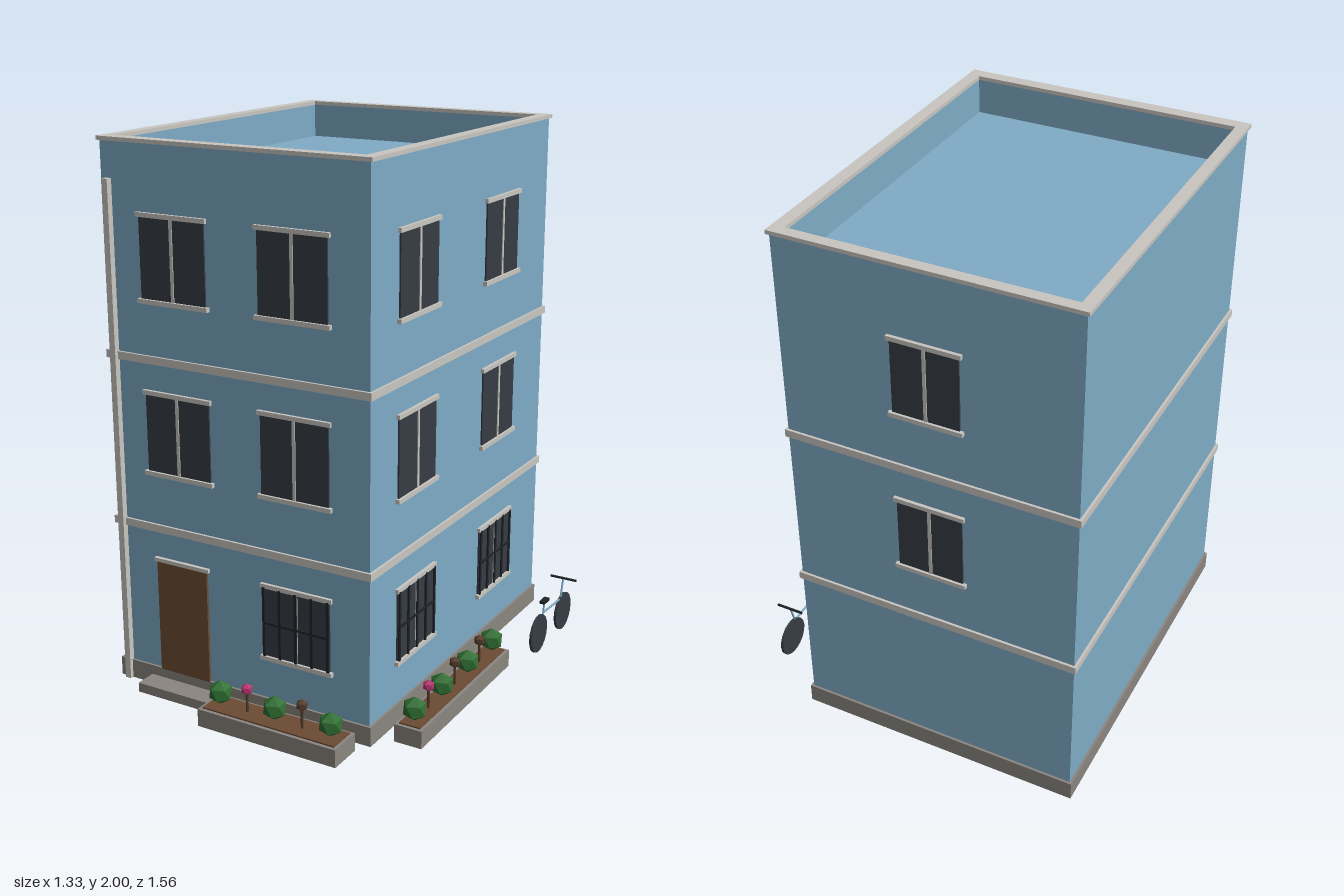
import * as THREE from 'three';

const mat = (name, color) => {
  const m = new THREE.MeshStandardMaterial({ color });
  m.name = name;
  return m;
};

export function createModel() {
  const M = {
    wall: mat('blue wall', 0x7fabc6),
    trim: mat('pale trim', 0xc9c6c1),
    stone: mat('grey stone', 0x8a857f),
    glass: mat('dark glass', 0x363b43),
    wood: mat('brown wood and soil', 0x6c4c34),
    iron: mat('black iron', 0x1f2327),
    leaf: mat('green leaf', 0x2f6e32),
    pink: mat('pink petals', 0xb5326f),
    twig: mat('dark twig', 0x523a28),
  };
  M.leaf.flatShading = M.pink.flatShading = M.twig.flatShading = true;

  const model = new THREE.Group();
  model.name = 'townHouse';

  const add = (parent, name, geo, material) => {
    const mesh = new THREE.Mesh(geo, material);
    mesh.name = name;
    parent.add(mesh);
    return mesh;
  };
  // Box given by its minimum and maximum on each axis
  const box = (parent, name, m, x0, x1, y0, y1, z0, z1) => {
    const b = add(parent, name, new THREE.BoxGeometry(x1 - x0, y1 - y0, z1 - z0), m);
    b.position.set((x0 + x1) / 2, (y0 + y1) / 2, (z0 + z1) / 2);
    return b;
  };
  // Rectangular frame lying flat, with a rectangular opening
  const frame = (name, m, o, i, y0, y1) => {
    const rect = (P, [x0, x1, z0, z1]) => new P([[x0, -z0], [x0, -z1], [x1, -z1], [x1, -z0]]
      .map(([x, y]) => new THREE.Vector2(x, y)));
    const shape = rect(THREE.Shape, o);
    shape.holes.push(rect(THREE.Path, i));
    const geo = new THREE.ExtrudeGeometry(shape, { depth: y1 - y0, bevelEnabled: false });
    add(model, name, geo.rotateX(-Math.PI / 2).translate(0, y0, 0), m);
  };
  // Round bar between two points
  const rod = (parent, name, m, a, b, r) => {
    const p = new THREE.Vector3(...a), q = new THREE.Vector3(...b);
    const d = q.clone().sub(p);
    const bar = add(parent, name, new THREE.CylinderGeometry(r, r, d.length(), 8), m);
    bar.position.copy(p).add(q).multiplyScalar(0.5);
    bar.quaternion.setFromUnitVectors(new THREE.Vector3(0, 1, 0), d.normalize());
  };

  // Walls, roof and mouldings
  const body = [-0.655, 0.395, -0.768, 0.591];
  const outer = [-0.664, 0.404, -0.777, 0.6];
  const inner = [-0.622, 0.359, -0.736, 0.552];
  box(model, 'plinth', M.stone, outer[0], outer[1], 0, 0.072, outer[2], outer[3]);
  box(model, 'walls', M.wall, body[0], body[1], 0.07, 1.86, body[2], body[3]);
  frame('parapet', M.wall, body, inner, 1.86, 1.986);
  frame('parapetCap', M.trim, outer, inner, 1.986, 2);
  for (const y of [0.609, 1.23]) {
    box(model, 'floorBand', M.trim, outer[0], outer[1], y, y + 0.028, outer[2], outer[3]);
  }

  // Windows are built facing +z, then turned onto their wall
  const makeWindow = (x, z, turn, w, y0, y1, barred) => {
    const g = new THREE.Group();
    g.name = barred ? 'barredWindow' : 'window';
    const h = w / 2;
    box(g, 'pane', M.glass, -h, h, y0, y1, -0.002, 0.006);
    box(g, 'mullion', M.trim, -0.006, 0.006, y0, y1, 0, 0.009);
    box(g, 'lintel', M.trim, -h - 0.01, h + 0.01, y1 - 0.004, y1 + 0.012, 0, 0.012);
    box(g, 'sill', M.trim, -h - 0.012, h + 0.012, y0 - 0.01, y0 + 0.006, 0, 0.015);
    if (barred) {
      for (let i = -2; i <= 2; i++) {
        const c = i * (h - 0.004) / 2;
        box(g, 'bar', M.iron, c - 0.005, c + 0.005, y0, y1, 0.008, 0.014);
      }
      const c = (y0 + y1) / 2;
      box(g, 'crossBar', M.iron, -h, h, c - 0.004, c + 0.004, 0.008, 0.014);
    }
    g.position.set(x, 0, z);
    g.rotation.y = turn;
    model.add(g);
  };
  const floors = [[0.232, 0.498], [0.832, 1.122], [1.453, 1.744]];
  floors.forEach(([y0, y1], f) => {
    if (f > 0) {
      makeWindow(-0.367, body[3], 0, 0.266, y0, y1, false);
      makeWindow(-0.13, body[2], Math.PI, 0.238, y0, y1 - 0.016, false);
    }
    makeWindow(0.108, body[3], 0, 0.266, y0, y1, f === 0);
    for (const z of [0.273, -0.368]) makeWindow(body[1], z, Math.PI / 2, 0.266, y0, y1, f === 0);
  });

  // Door, step and drainpipe
  box(model, 'door', M.wood, -0.477, -0.262, 0.07, 0.5, 0.585, 0.601);
  box(model, 'doorLintel', M.trim, -0.487, -0.252, 0.497, 0.511, 0.585, 0.605);
  box(model, 'doorStep', M.stone, -0.523, -0.214, 0, 0.036, 0.595, 0.681);
  box(model, 'drainpipe', M.trim, -0.637, -0.613, 0, 1.86, 0.588, 0.614);

  // Planters
  const planter = (name, x0, x1, z0, z1) => {
    box(model, name, M.stone, x0, x1, 0, 0.066, z0, z1);
    const e = 0.013;
    box(model, name + 'Soil', M.wood, x0 + e, x1 - e, 0.06, 0.071, z0 + e, z1 - e);
  };
  planter('frontPlanter', -0.189, 0.37, 0.646, 0.777);
  planter('sidePlanter', 0.454, 0.56, -0.184, 0.526);

  // Plants: point-up icosahedra, the flowers on stems
  const ball = (name, m, r, x, y, z) => {
    const geo = new THREE.IcosahedronGeometry(r, 0).rotateZ(0.5536);
    add(model, name, geo, m).position.set(x, y, z);
  };
  const bush = (x, z) => ball('bush', M.leaf, 0.045, x, 0.117, z);
  const flower = (x, z, m) => {
    rod(model, 'stem', M.twig, [x, 0.068, z], [x, 0.15, z], 0.005);
    ball('flowerHead', m, 0.022, x, 0.157, z);
  };
  for (const x of [-0.135, 0.09, 0.314]) bush(x, 0.712);
  flower(-0.023, 0.712, M.pink);
  flower(0.201, 0.712, M.twig);
  for (const z of [-0.137, 0.068, 0.273, 0.477]) bush(0.507, z);
  flower(0.507, 0.374, M.pink);
  for (const z of [0.17, -0.033]) flower(0.507, z, M.twig);

  // Bicycle
  const bike = new THREE.Group();
  bike.name = 'bicycle';
  bike.position.x = 0.607;
  model.add(bike);
  for (const z of [-0.349, -0.587]) {
    const wheel = add(bike, 'wheel', new THREE.CylinderGeometry(0.075, 0.075, 0.01, 18), M.glass);
    wheel.rotation.z = Math.PI / 2;
    wheel.position.set(0, 0.077, z);
  }
  const tubes = [
    [[0.077, -0.349], [0.148, -0.392]],
    [[0.148, -0.392], [0.138, -0.562]],
    [[0.148, -0.392], [0.192, -0.398]],
    [[0.138, -0.562], [0.077, -0.587]],
    [[0.138, -0.562], [0.215, -0.583]],
  ];
  for (const [a, b] of tubes) rod(bike, 'frameTube', M.wall, [0, ...a], [0, ...b], 0.004);
  box(bike, 'saddle', M.iron, -0.011, 0.011, 0.189, 0.199, -0.424, -0.375);
  rod(bike, 'handlebar', M.iron, [-0.054, 0.217, -0.586], [0.054, 0.217, -0.586], 0.005);

  return model;
}
